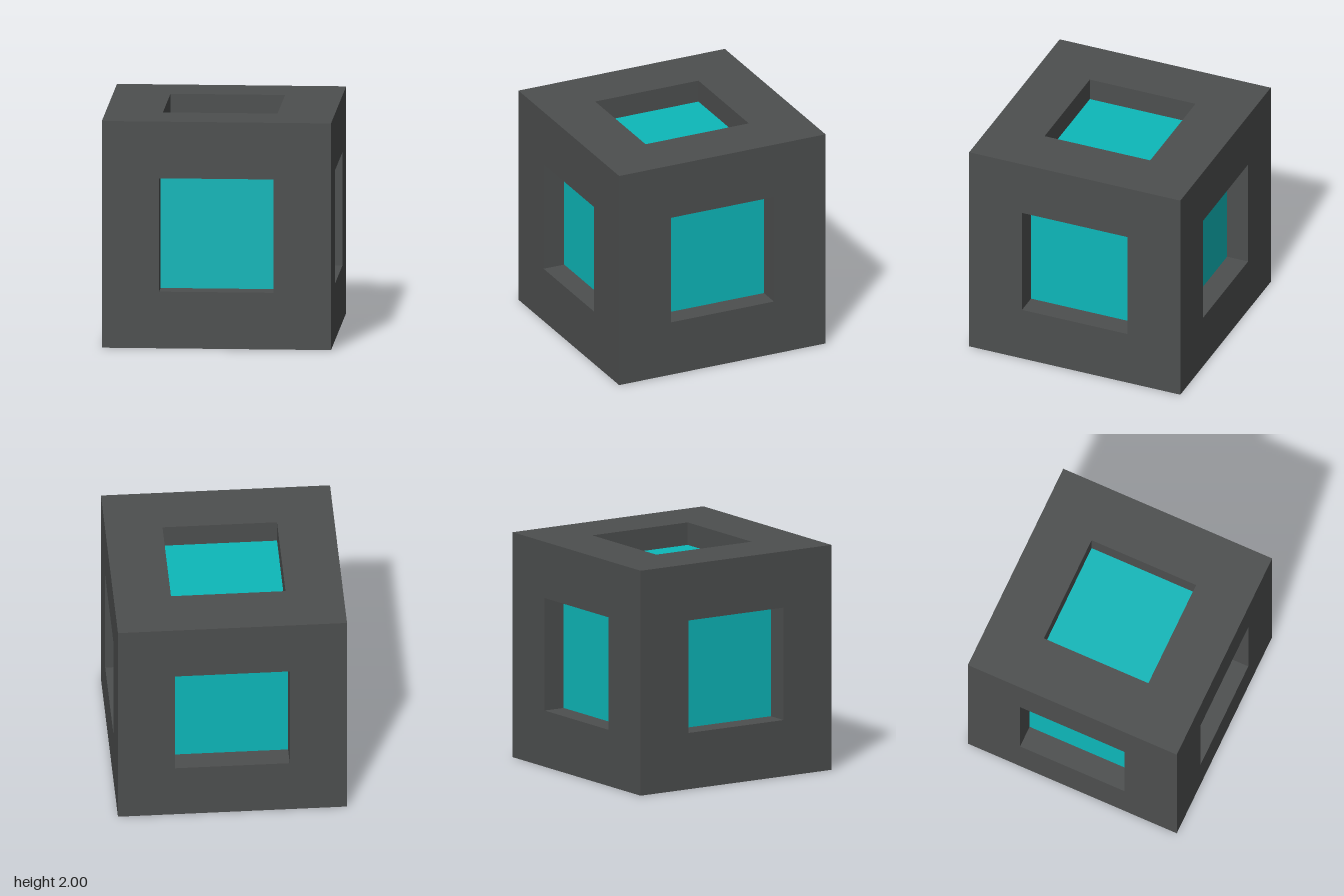
import * as THREE from 'three';
import { mergeGeometries } from 'three/addons/utils/BufferGeometryUtils.js';

const HALF = 1, OPENING = 0.5, DEPTH = 0.2;

function square(path, h) {
  path.moveTo(-h, -h);
  path.lineTo(h, -h);
  path.lineTo(h, h);
  path.lineTo(-h, h);
  path.closePath();
  return path;
}

// One side of the casing, facing +z: flat border plus the four recess walls
function casingSide() {
  const outline = square(new THREE.Shape(), HALF);
  outline.holes.push(square(new THREE.Path(), OPENING));
  const parts = [new THREE.ShapeGeometry(outline).translate(0, 0, HALF)];
  for (let i = 0; i < 4; i++) {
    parts.push(new THREE.PlaneGeometry(2 * OPENING, DEPTH)
      .rotateX(-Math.PI / 2)
      .translate(0, -OPENING, HALF - DEPTH / 2)
      .rotateZ(i * Math.PI / 2));
  }
  return mergeGeometries(parts);
}

export function createModel() {
  const model = new THREE.Group();
  model.name = 'recessedCube';
  const casingMaterial = new THREE.MeshStandardMaterial({ color: 0x4d4f4f });
  const panelMaterial = new THREE.MeshStandardMaterial({ color: 0x0db8ba });

  const casing = casingSide();
  const panel = new THREE.PlaneGeometry(2 * OPENING, 2 * OPENING).translate(0, 0, HALF - DEPTH);

  // The same side is turned to each of the six directions
  const q = Math.PI / 2;
  const sides = {
    front: [0, 0], left: [0, q], back: [0, 2 * q], right: [0, -q], top: [-q, 0], bottom: [q, 0],
  };
  for (const [name, [rx, ry]] of Object.entries(sides)) {
    const side = new THREE.Group();
    side.name = name + 'Side';
    const frame = new THREE.Mesh(casing, casingMaterial);
    frame.name = name + 'Frame';
    const inset = new THREE.Mesh(panel, panelMaterial);
    inset.name = name + 'Panel';
    side.add(frame, inset);
    side.rotation.set(rx, ry, 0);
    side.position.y = HALF;
    model.add(side);
  }
  return model;
}
